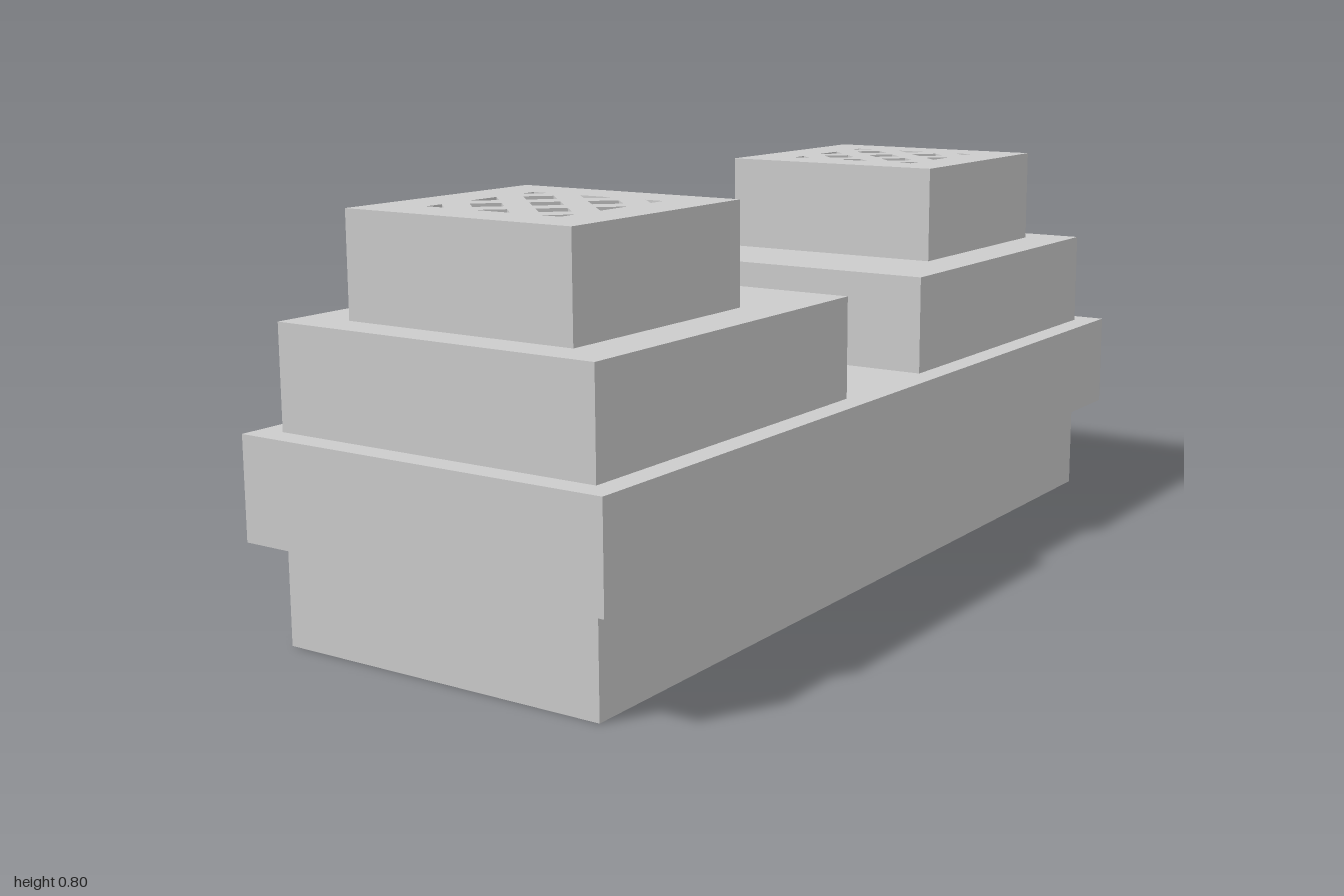
import * as THREE from 'three';

const material = new THREE.MeshStandardMaterial({ color: 0xcccccc, flatShading: true });
const TIER = 0.2; // height of every tier

function addBlock(parent, name, width, depth, y, z = 0) {
  const mesh = new THREE.Mesh(new THREE.BoxGeometry(width, TIER, depth), material);
  mesh.name = name;
  mesh.position.set(0, y + TIER / 2, z);
  parent.add(mesh);
}

// Diamond opening at (cx, cy), clipped to the square |x|,|y| <= limit
function diamondHole(cx, cy, r, limit) {
  const inside = (p) => Math.abs(p.x) <= limit + 1e-6 && Math.abs(p.y) <= limit + 1e-6;
  const corners = [[r, 0], [0, r], [-r, 0], [0, -r]].map(([x, y]) => new THREE.Vector2(cx + x, cy + y));
  const points = corners.filter(inside);
  if (points.length < 4) points.push(new THREE.Vector2(cx, cy)); // half or quarter diamond
  // order the points around their middle
  const mid = points.reduce((m, p) => m.add(p), new THREE.Vector2()).divideScalar(points.length);
  points.sort((a, b) => Math.atan2(b.y - mid.y, b.x - mid.x) - Math.atan2(a.y - mid.y, a.x - mid.x));
  return new THREE.Path(points);
}

// Square cap pierced by a diagonal lattice
function latticeCapGeometry() {
  const h = 0.25, limit = 0.15, step = 0.075;
  const shape = new THREE.Shape([[-h, -h], [h, -h], [h, h], [-h, h]].map(([x, y]) => new THREE.Vector2(x, y)));
  for (let i = -2; i <= 2; i++) {
    for (let j = -2; j <= 2; j++) {
      if ((i + j) % 2 !== 0) continue;
      // edge openings sit a hair inside the border so they never touch
      shape.holes.push(diamondHole(i * step, j * step, 0.04, limit));
    }
  }
  const geometry = new THREE.ExtrudeGeometry(shape, { depth: TIER, bevelEnabled: false });
  return geometry.rotateX(-Math.PI / 2);
}

export function createModel() {
  const model = new THREE.Group();
  model.name = 'steppedPlatform';

  // Long lower tiers
  addBlock(model, 'plinth', 0.7, 1.9, 0);
  addBlock(model, 'deck', 0.8, 2, TIER);

  // Matching towers at the front and back
  const capGeometry = latticeCapGeometry();
  for (const side of [1, -1]) {
    const tower = new THREE.Group();
    tower.name = side > 0 ? 'frontTower' : 'backTower';
    addBlock(tower, 'towerBase', 0.7, 0.8, 2 * TIER, side * 0.55);
    const cap = new THREE.Mesh(capGeometry, material);
    cap.name = 'latticeCap';
    cap.position.set(0, 3 * TIER, side * 0.625);
    tower.add(cap);
    model.add(tower);
  }
  return model;
}
